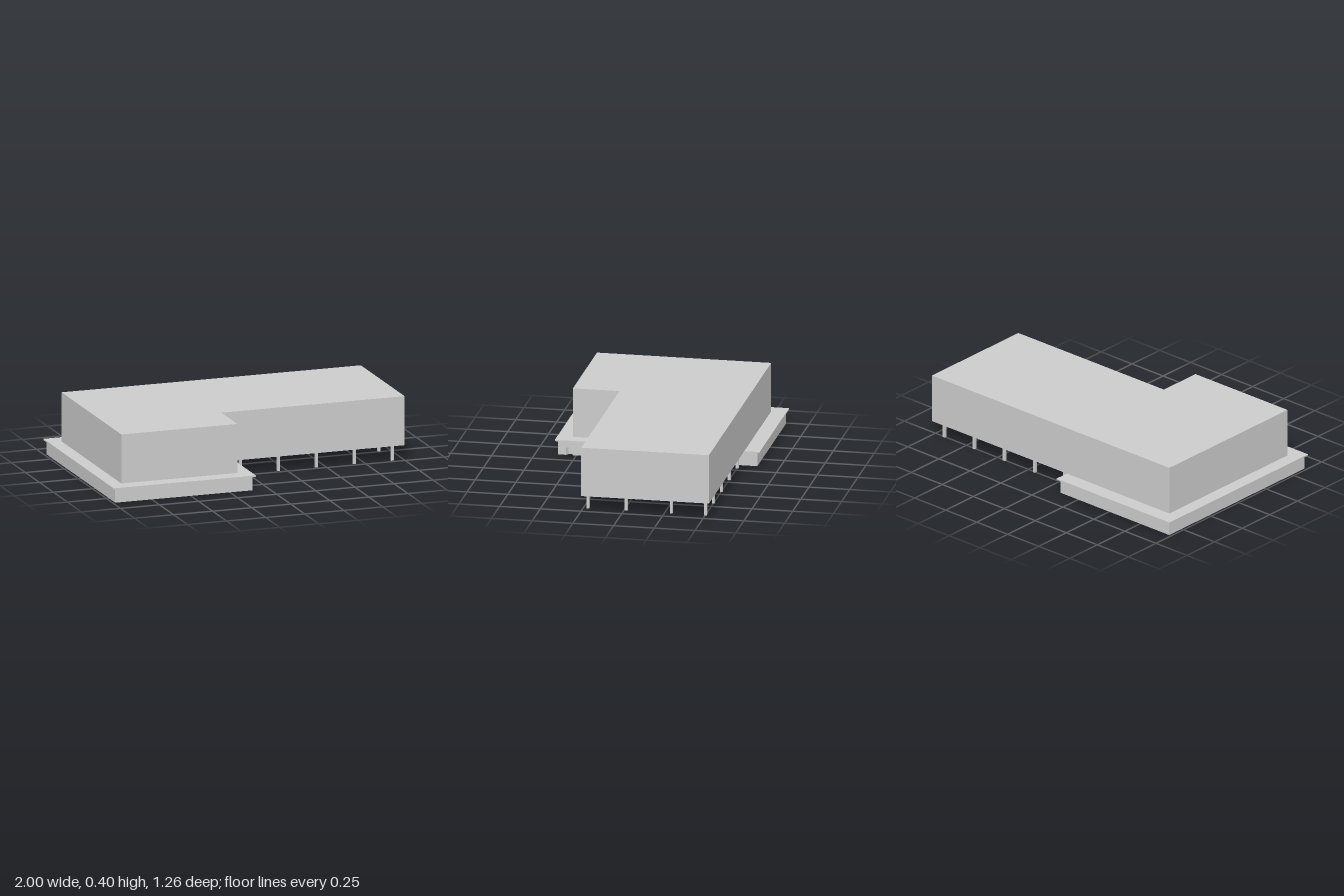
import * as THREE from 'three';

const material = new THREE.MeshStandardMaterial({ color: 0xcccccc, flatShading: true });

// Extrudes a floor plan given as [x, z] corners from y0 up to y1.
function addPlan(group, name, corners, y0, y1) {
  const shape = new THREE.Shape(corners.map(([x, z]) => new THREE.Vector2(x, -z)));
  const geometry = new THREE.ExtrudeGeometry(shape, { depth: y1 - y0, bevelEnabled: false });
  geometry.rotateX(-Math.PI / 2).translate(0, y0, 0);
  const mesh = new THREE.Mesh(geometry, material);
  mesh.name = name;
  group.add(mesh);
}

const rect = (x0, x1, z0, z1) => [[x0, z1], [x1, z1], [x1, z0], [x0, z0]];

export function createModel() {
  const model = new THREE.Group();
  model.name = 'building';

  const slabBottom = 0.087, floor = 0.095, roof = 0.4, doorTop = 0.047;

  // L-shaped upper storey
  addPlan(model, 'upperStorey', [
    [-0.917, 0.535], [-0.175, 0.535], [-0.175, 0.249],
    [0.998, 0.249], [0.998, -0.535], [-0.917, -0.535],
  ], floor, roof);

  // Thin overhanging slab on top of the ground floor
  addPlan(model, 'canopySlab', rect(-1, -0.09, -0.629, 0.629), slabBottom, floor);

  // Ground floor: lower part has a shallow doorway cut in its left wall
  const wallX = -0.106, recessX = -0.126;
  addPlan(model, 'groundFloorLower', [
    [-0.984, 0.612], [wallX, 0.612], [wallX, 0.562], [recessX, 0.552],
    [recessX, 0.522], [wallX, 0.522], [wallX, -0.612], [-0.984, -0.612],
  ], 0, doorTop);
  addPlan(model, 'groundFloorUpper', rect(-0.984, wallX, -0.612, 0.612), doorTop, slabBottom);

  // Columns under the long wing: front and back rows, plus two at the end
  const spots = [];
  for (let i = 0; i < 5; i++) {
    const x = -0.045 + i * 0.243;
    spots.push([x, 0.221], [x, -0.501]);
  }
  spots.push([0.927, -0.014], [0.927, -0.291]);
  const columnGeometry = new THREE.BoxGeometry(0.017, floor, 0.017);
  const columns = new THREE.Group();
  columns.name = 'columns';
  for (const [x, z] of spots) {
    const column = new THREE.Mesh(columnGeometry, material);
    column.name = 'column';
    column.position.set(x, floor / 2, z);
    columns.add(column);
  }
  model.add(columns);

  return model;
}
